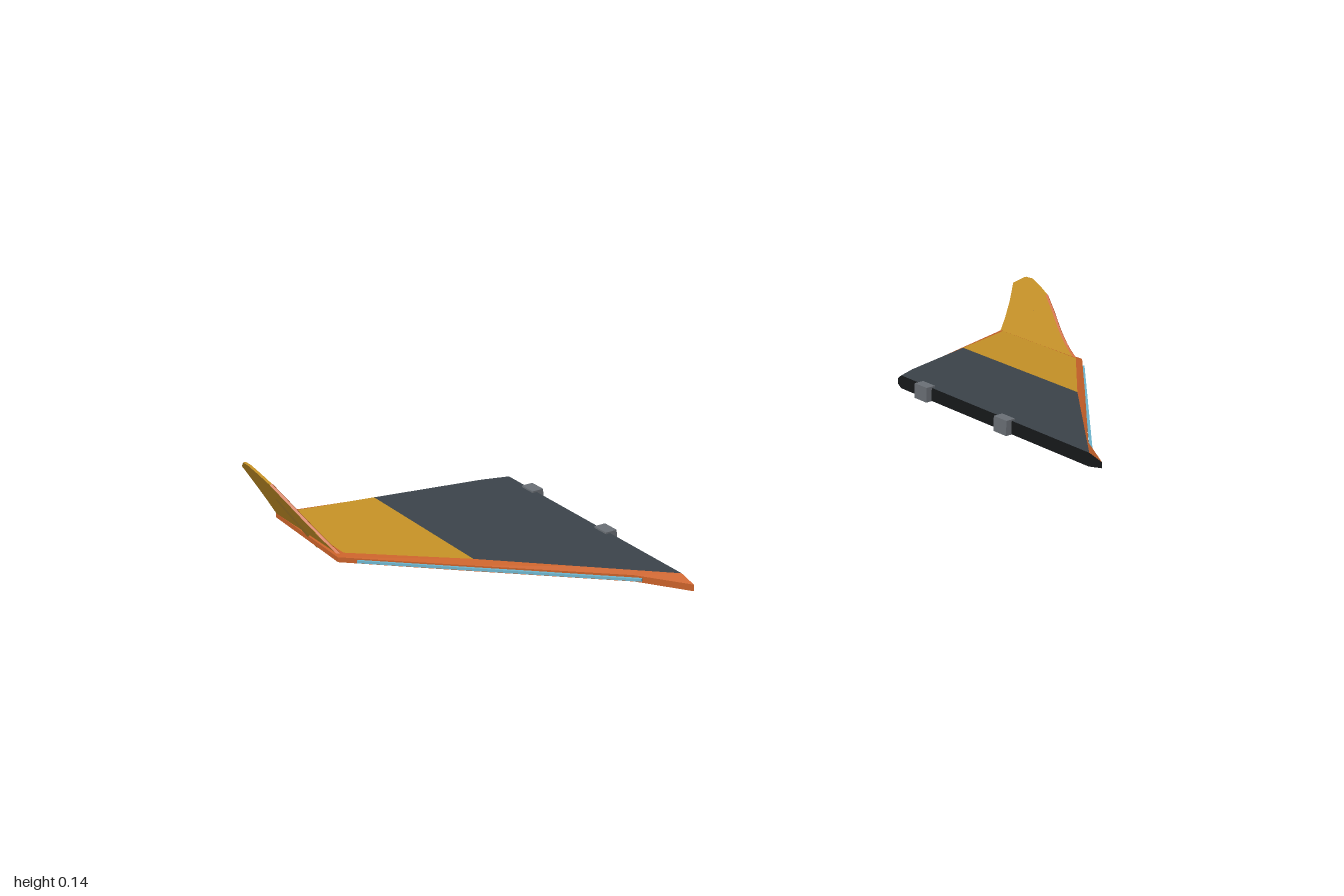
import * as THREE from 'three';

const mat = (color) => new THREE.MeshStandardMaterial({ color, flatShading: true });
const MATS = {
  slate: mat(0x3c444b), gold: mat(0xc89327), orange: mat(0xc9622a),
  black: mat(0x17191b), grey: mat(0x6c7177), blue: mat(0x6fb7d0), bronze: mat(0x7d5c1c),
};

// Flat-faced geometry from polygons, each a list of corners fanned from the first
function fromPolygons(polys) {
  const pos = [];
  for (const p of polys)
    for (let i = 1; i < p.length - 1; i++) pos.push(...p[0], ...p[i], ...p[i + 1]);
  const g = new THREE.BufferGeometry();
  g.setAttribute('position', new THREE.Float32BufferAttribute(pos, 3));
  g.computeVertexNormals();
  return g;
}

// Mirror across x = 0, keeping faces outward
function mirrored(geo) {
  const g = geo.index ? geo.toNonIndexed() : geo.clone();
  g.scale(-1, 1, 1);
  const p = g.attributes.position, a = new THREE.Vector3(), b = new THREE.Vector3();
  for (let i = 0; i < p.count; i += 3) {
    a.fromBufferAttribute(p, i + 1);
    b.fromBufferAttribute(p, i + 2);
    p.setXYZ(i + 1, b.x, b.y, b.z);
    p.setXYZ(i + 2, a.x, a.y, a.z);
  }
  g.computeVertexNormals();
  return g;
}

// Straight square bar between two points
function bar(a, b, w, h) {
  const A = new THREE.Vector3(...a), B = new THREE.Vector3(...b);
  const o = new THREE.Object3D();
  o.position.copy(A).add(B).multiplyScalar(0.5);
  o.lookAt(B);
  o.updateMatrix();
  return new THREE.BoxGeometry(w, h, A.distanceTo(B)).applyMatrix4(o.matrix);
}

// Wing plan [x, z], root front round by the tip to root rear
const OUTER = [[0.505, 0.403], [0.565, 0.3], [0.776, 0.068], [0.945, -0.12],
  [0.938, -0.388], [0.76, -0.332], [0.56, -0.268], [0.505, -0.245]];
const INNER = [[0.505, 0.365], [0.55, 0.288], [0.76, 0.06], [0.93, -0.125],
  [0.93, -0.373], [0.76, -0.32], [0.555, -0.256], [0.505, -0.234]];

// Heights taper from root to tip
const layer = (pts, root, tip) =>
  pts.map(([x, z]) => [x, root + (tip - root) * (x - 0.505) / 0.44, z]);

function wingParts() {
  const top = layer(INNER, 0.042, 0.024), hi = layer(OUTER, 0.033, 0.021);
  const lo = layer(OUTER, 0.02, 0.011), bottom = layer(INNER, 0.012, 0.008);
  const rim = [];
  for (const [u, l] of [[top, hi], [hi, lo], [lo, bottom]])
    for (let i = 0; i < 7; i++) rim.push([u[i], l[i], l[i + 1], u[i + 1]]);
  const pick = (ids) => ids.map((i) => top[i]);
  return [
    ['wingPanel', 'slate', fromPolygons([pick([0, 1, 2, 5, 6, 7])])],
    ['wingTipPanel', 'gold', fromPolygons([pick([2, 3, 4, 5])])],
    ['wingRim', 'orange', fromPolygons(rim)],
    ['wingUnderside', 'black', fromPolygons([[...bottom].reverse()])],
    ['wingRoot', 'black', fromPolygons([[top[0], top[7], hi[7], lo[7], bottom[7], bottom[0], lo[0], hi[0]]])],
  ];
}

// Outward lean of the tip fin
const finX = (y) => 0.935 + (y - 0.02) * 0.52;

function finParts() {
  const t = 0.006;
  const lead = [[-0.13, 0.02], [-0.165, 0.036], [-0.21, 0.064], [-0.25, 0.094], [-0.29, 0.122]];
  const rest = [[-0.325, 0.135], [-0.355, 0.144], [-0.378, 0.143], [-0.405, 0.125],
    [-0.393, 0.085], [-0.387, 0.05], [-0.385, 0.018]];
  const shape = new THREE.Shape([...lead, ...rest].map((p) => new THREE.Vector2(...p)));
  const fin = new THREE.ExtrudeGeometry(shape, { depth: t, bevelEnabled: false });
  fin.translate(0, 0, -t / 2).rotateY(-Math.PI / 2);
  const p = fin.attributes.position;
  for (let i = 0; i < p.count; i++) p.setX(i, p.getX(i) + finX(p.getY(i)));
  fin.computeVertexNormals();

  // Orange edging on the fin's front
  const path = new THREE.CatmullRomCurve3(lead.map(([z, y]) => new THREE.Vector3(finX(y), y, z)));
  return [
    ['tipFin', 'gold', fin],
    ['finEdge', 'orange', new THREE.TubeGeometry(path, 12, 0.0035, 4, false)],
    ['finStrut', 'bronze', bar([0.93, 0.002, -0.228], [0.969, 0.083, -0.31], 0.007, 0.004)],
  ];
}

export function createModel() {
  const model = new THREE.Group();
  model.name = 'wingPair';

  const parts = [...wingParts(), ...finParts(),
    ['leadingEdgeStrip', 'blue', bar([0.558, 0.0255, 0.315], [0.92, 0.0165, -0.09], 0.006, 0.005)]];
  // Hinge blocks on the root
  for (const z of [0.11, -0.15])
    parts.push(['rootHinge', 'grey', new THREE.BoxGeometry(0.024, 0.034, 0.04).translate(0.502, 0.028, z)]);

  for (const side of ['left', 'right']) {
    const wing = new THREE.Group();
    wing.name = side + 'Wing';
    for (const [name, color, geo] of parts) {
      const mesh = new THREE.Mesh(side === 'left' ? geo : mirrored(geo), MATS[color]);
      mesh.name = name;
      wing.add(mesh);
    }
    model.add(wing);
  }
  return model;
}
